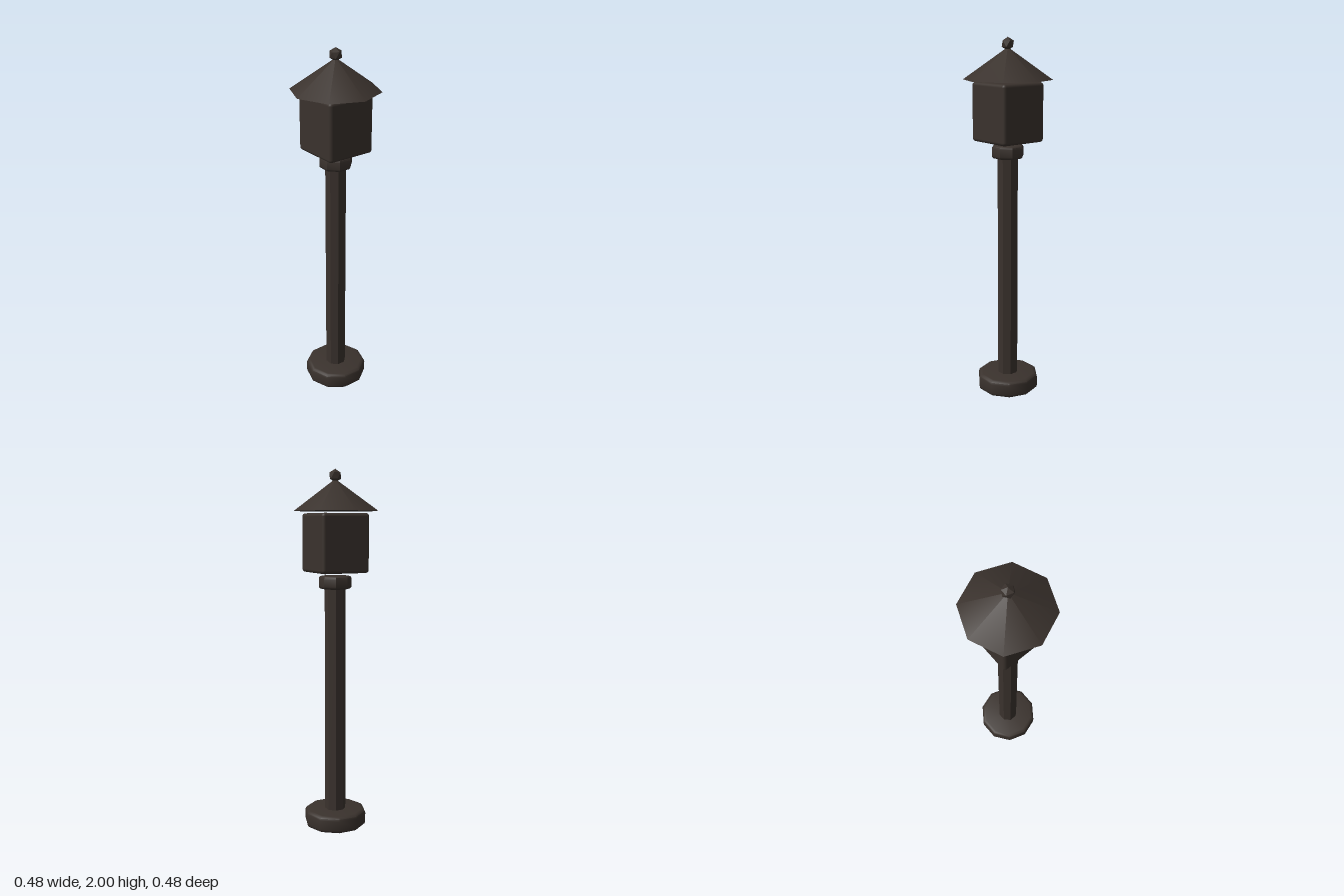
import * as THREE from 'three';
import { toCreasedNormals } from 'three/addons/utils/BufferGeometryUtils.js';
import { RoundedBoxGeometry } from 'three/addons/geometries/RoundedBoxGeometry.js';

const CREASE = 0.7;

// Faceted disc between two heights with rounded rims
function roundedDisc(radius, y0, y1, bevel, sides, turn = 0) {
  const points = [new THREE.Vector2(0, y0)];
  const steps = 3;
  for (let i = 0; i <= steps; i++) {
    const a = (i / steps) * Math.PI / 2;
    points.push(new THREE.Vector2(radius - bevel + bevel * Math.sin(a), y0 + bevel - bevel * Math.cos(a)));
  }
  for (let i = 0; i <= steps; i++) {
    const a = (i / steps) * Math.PI / 2;
    points.push(new THREE.Vector2(radius - bevel + bevel * Math.cos(a), y1 - bevel + bevel * Math.sin(a)));
  }
  points.push(new THREE.Vector2(0, y1));
  return toCreasedNormals(new THREE.LatheGeometry(points, sides, turn), CREASE);
}

export function createModel() {
  const model = new THREE.Group();
  model.name = 'lampPost';
  const metal = new THREE.MeshStandardMaterial({ color: 0x3a322d });
  const facetedMetal = new THREE.MeshStandardMaterial({ color: 0x3a322d, flatShading: true });

  function add(name, geometry, y = 0, material = metal) {
    const mesh = new THREE.Mesh(geometry, material);
    mesh.name = name;
    mesh.position.y = y;
    model.add(mesh);
  }

  const turn = Math.PI / 8;

  // Ten-sided foot
  add('base', roundedDisc(0.175, 0, 0.095, 0.022, 10));

  // Eight-sided shaft and its collar
  add('post', new THREE.CylinderGeometry(0.058, 0.058, 1.31, 8, 1, false, turn), 0.735, facetedMetal);
  add('collar', roundedDisc(0.09, 1.355, 1.427, 0.016, 8, turn));

  // Lantern body, floating between collar and roof
  add('lanternBox', new RoundedBoxGeometry(0.28, 0.32, 0.28, 3, 0.018), 1.605);

  // Eight-sided roof, smooth on the slope
  add('roof', toCreasedNormals(new THREE.ConeGeometry(0.242, 0.17, 8), CREASE), 1.862);

  // Finial with one corner pointing up
  const finial = new THREE.IcosahedronGeometry(0.036, 0);
  finial.rotateZ(-Math.atan(2 / (1 + Math.sqrt(5))));
  add('finial', finial, 1.964, facetedMetal);

  return model;
}
